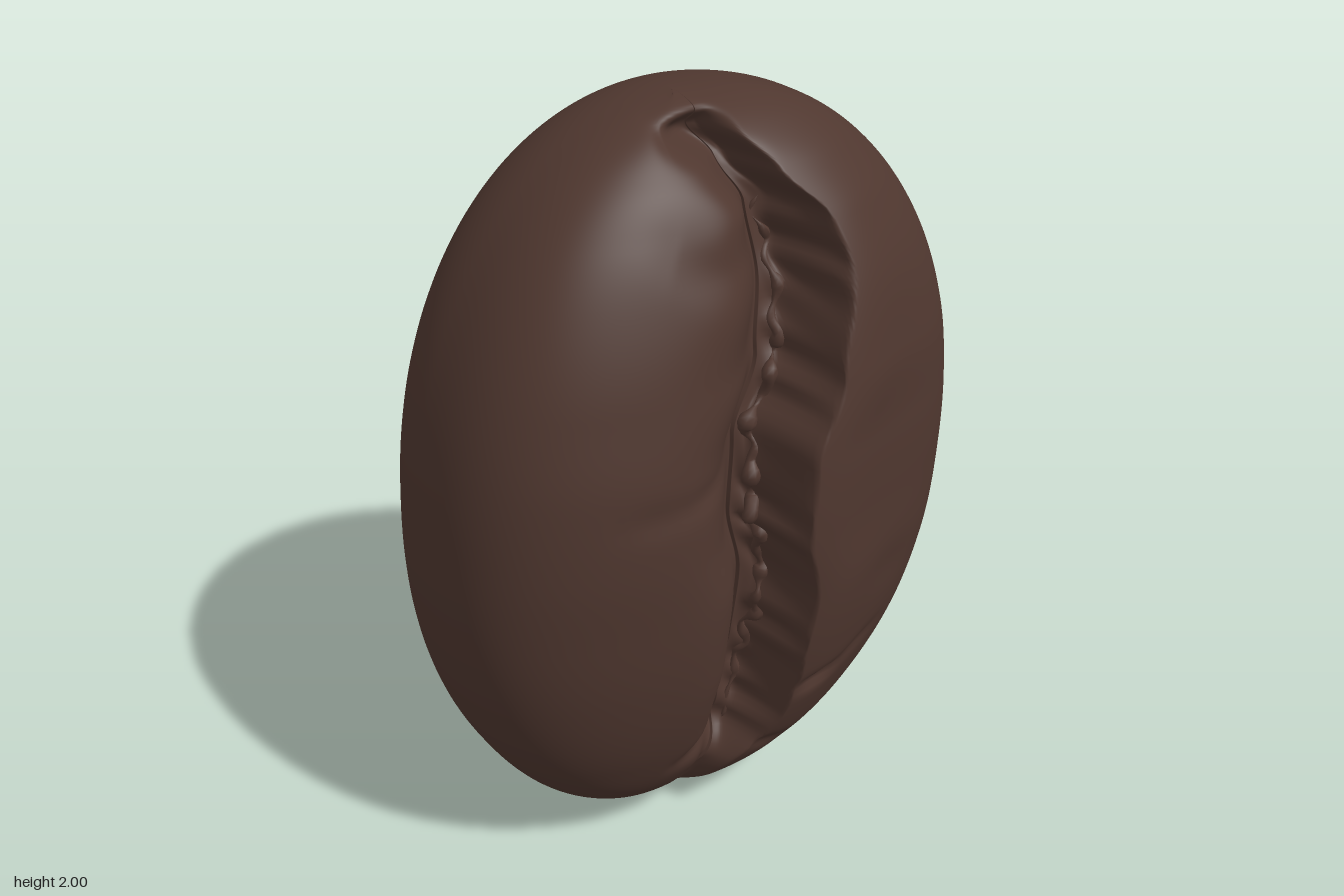
import * as THREE from 'three';

const FRONT = 190, BACK = 60, ROWS = 150;
const RING = FRONT + BACK;

// Piecewise smooth interpolation through [position, value] pairs
function along(points, p) {
  if (p <= points[0][0]) return points[0][1];
  for (let i = 1; i < points.length; i++) {
    const [p0, v0] = points[i - 1], [p1, v1] = points[i];
    if (p <= p1) return THREE.MathUtils.lerp(v0, v1, THREE.MathUtils.smoothstep(p, p0, p1));
  }
  return points[points.length - 1][1];
}

// Winding line of the groove, its depth, softness of its left slope and width of its wall, by height
const CREASE_X = [[0, -0.1], [0.15, -0.09], [0.32, -0.03], [0.6, 0.0], [0.8, 0.01], [1.0, -0.03],
  [1.2, -0.02], [1.4, 0.06], [1.6, 0.09], [1.75, 0.07], [1.86, 0.02], [1.94, -0.03], [2, -0.03]];
const DEPTH = [[0.05, 0], [0.2, 0.02], [0.34, 0.12], [0.5, 0.17], [1.0, 0.19], [1.6, 0.19],
  [1.82, 0.15], [1.93, 0.1], [1.985, 0]];
const SLOPE = [[0.1, 0.05], [0.4, 0.08], [0.9, 0.1], [1.4, 0.13], [1.65, 0.09], [1.8, 0.06], [1.93, 0.09]];
const WALL = [[0.2, 0.05], [0.4, 0.09], [0.7, 0.07], [1.1, 0.07], [1.4, 0.08], [1.7, 0.12], [1.9, 0.06]];

// Small wrinkles: x1, y1, x2, y2, depth, width
const WRINKLES = [
  [-0.42, 1.14, -0.24, 1.15, 0.008, 0.04],
  [-0.26, 1.15, -0.08, 1.18, 0.012, 0.03],
  [0.08, 0.49, 0.22, 0.5, 0.025, 0.025],
  [0.2, 0.5, 0.4, 0.55, 0.01, 0.025],
  [-0.2, 0.27, -0.02, 0.33, 0.02, 0.03],
  [0.0, 0.29, 0.14, 0.23, 0.015, 0.025],
  [-0.1, 0.07, -0.07, 0.26, 0.015, 0.025],
  [-0.14, 1.94, 0.03, 1.88, 0.05, 0.03],
  [0.28, 0.78, 0.48, 0.74, 0.006, 0.07],
  [-0.22, 1.72, -0.05, 1.62, 0.01, 0.06],
];

// Each wrinkle is deepest in its middle and fades towards its ends
function wrinkle(x, y) {
  let sum = 0;
  for (const [x1, y1, x2, y2, depth, width] of WRINKLES) {
    const dx = x2 - x1, dy = y2 - y1;
    const k = THREE.MathUtils.clamp(((x - x1) * dx + (y - y1) * dy) / (dx * dx + dy * dy), 0, 1);
    const d = Math.hypot(x - x1 - k * dx, y - y1 - k * dy) / width;
    sum += depth * (0.35 + 0.65 * Math.sin(Math.PI * k)) * Math.exp(-d * d);
  }
  return sum;
}

const dome = (v, n) => Math.pow(Math.max(0, 1 - Math.pow(Math.abs(v), n)), 1 / n);

// Outline half width, and the slight lean of the bean sideways and forwards
const halfWidthAt = (v) => 0.735 * dome(v, 2.2);
const LEAN_X = 0.035, LEAN_Z = 0.025;

// Front face: X runs from -1 (right edge) to 1 (left edge), with the groove at 0
function frontPoint(X, y) {
  const v = y - 1;
  const rise = dome(v, 2.15);
  const s = halfWidthAt(v) * X;
  const fade = 1 - X * X;
  let x = s + LEAN_X * v + (along(CREASE_X, y) - LEAN_X * v) * fade * fade;
  let z = (X < 0 ? 0.478 * dome(X, 2.8) : 0.49 * dome(X, 2.9)) * rise;

  // Raised lip beside the groove
  const wall = along(WALL, y);
  if (s > 0) z += 0.055 * rise * Math.exp(-Math.pow((s - 0.12) / 0.19, 2)) * THREE.MathUtils.smoothstep(s, 0, wall);

  // Soft slope on one side, steep crumpled wall on the other
  const cut = s < 0 ? Math.exp(-Math.pow(Math.abs(s) / along(SLOPE, y), 1.5))
    : 1 - THREE.MathUtils.smoothstep(s, 0.3 * wall, wall);
  z -= Math.min(along(DEPTH, y), 0.5 * z) * cut;
  if (s > 0 && s < wall) {
    const strip = Math.sin(Math.PI * s / wall) * THREE.MathUtils.smoothstep(y, 0.25, 0.4)
      * (1 - THREE.MathUtils.smoothstep(y, 1.75, 1.85));
    x += strip * (0.015 + 0.01 * Math.sin(y * 31 + 2 * Math.sin(y * 19)));
    z += 0.012 * strip * Math.sin(y * 43 + s * 70 + 2 * Math.sin(y * 13));
  }
  z -= Math.min(wrinkle(x, y), 0.4 * Math.max(z, 0)) * THREE.MathUtils.smoothstep(fade, 0, 0.3);
  return [x, y, z + LEAN_Z * v];
}

function backPoint(angle, y) {
  const v = y - 1;
  return [halfWidthAt(v) * Math.cos(angle) + LEAN_X * v, y, -0.542 * dome(v, 2.4) * Math.sin(angle) + LEAN_Z * v];
}

// Closed rings stacked from the bottom to the top
function bodyGeometry() {
  const positions = [], indices = [];
  for (let j = 0; j <= ROWS; j++) {
    const y = 1 - Math.cos(Math.PI * j / ROWS);
    for (let i = 0; i < FRONT; i++) {
      const t = 2 * i / FRONT - 1;
      const X = Math.sin(Math.PI / 2 * Math.sign(t) * Math.pow(Math.abs(t), 1.5));
      positions.push(...frontPoint(X, y));
    }
    for (let i = 0; i < BACK; i++) positions.push(...backPoint(Math.PI * i / BACK, y));
  }
  for (let j = 0; j < ROWS; j++) {
    for (let i = 0; i < RING; i++) {
      const a = j * RING + i, b = j * RING + (i + 1) % RING;
      indices.push(a, b, a + RING, b, b + RING, a + RING);
    }
  }
  const geometry = new THREE.BufferGeometry();
  geometry.setAttribute('position', new THREE.Float32BufferAttribute(positions, 3));
  geometry.setIndex(indices);
  geometry.computeVertexNormals();
  return geometry;
}

// Crumpled strip of dry skin lying in the groove
function skinGeometry() {
  const points = [];
  for (let k = 0; k <= 40; k++) {
    const y = 0.3 + 1.46 * k / 40;
    const [x, , z] = frontPoint(0.04, y);
    points.push(new THREE.Vector3(x + 0.01 * Math.sin(k * 1.9), y, z + 0.008 * Math.sin(k * 2.7)));
  }
  const curve = new THREE.CatmullRomCurve3(points);
  const geometry = new THREE.TubeGeometry(curve, 160, 0.02, 8);
  const position = geometry.attributes.position, p = new THREE.Vector3();
  for (let i = 0; i < position.count; i++) {
    const u = Math.floor(i / 9) / 160, centre = curve.getPointAt(u);
    p.fromBufferAttribute(position, i).sub(centre);
    const size = Math.sin(Math.PI * u) ** 0.4 * (0.8 + 0.35 * Math.sin(u * 83) + 0.25 * Math.sin(u * 141 + 1));
    p.multiplyScalar(size).add(centre);
    position.setXYZ(i, p.x, p.y, p.z);
  }
  geometry.computeVertexNormals();
  return geometry;
}

export function createModel() {
  const roastedBrown = new THREE.MeshStandardMaterial({ color: 0x4f372f });
  roastedBrown.name = 'roastedBrown';

  const model = new THREE.Group();
  model.name = 'coffeeBean';

  const body = new THREE.Mesh(bodyGeometry(), roastedBrown);
  body.name = 'beanBody';
  const skin = new THREE.Mesh(skinGeometry(), roastedBrown);
  skin.name = 'grooveSkin';
  model.add(body, skin);
  return model;
}
